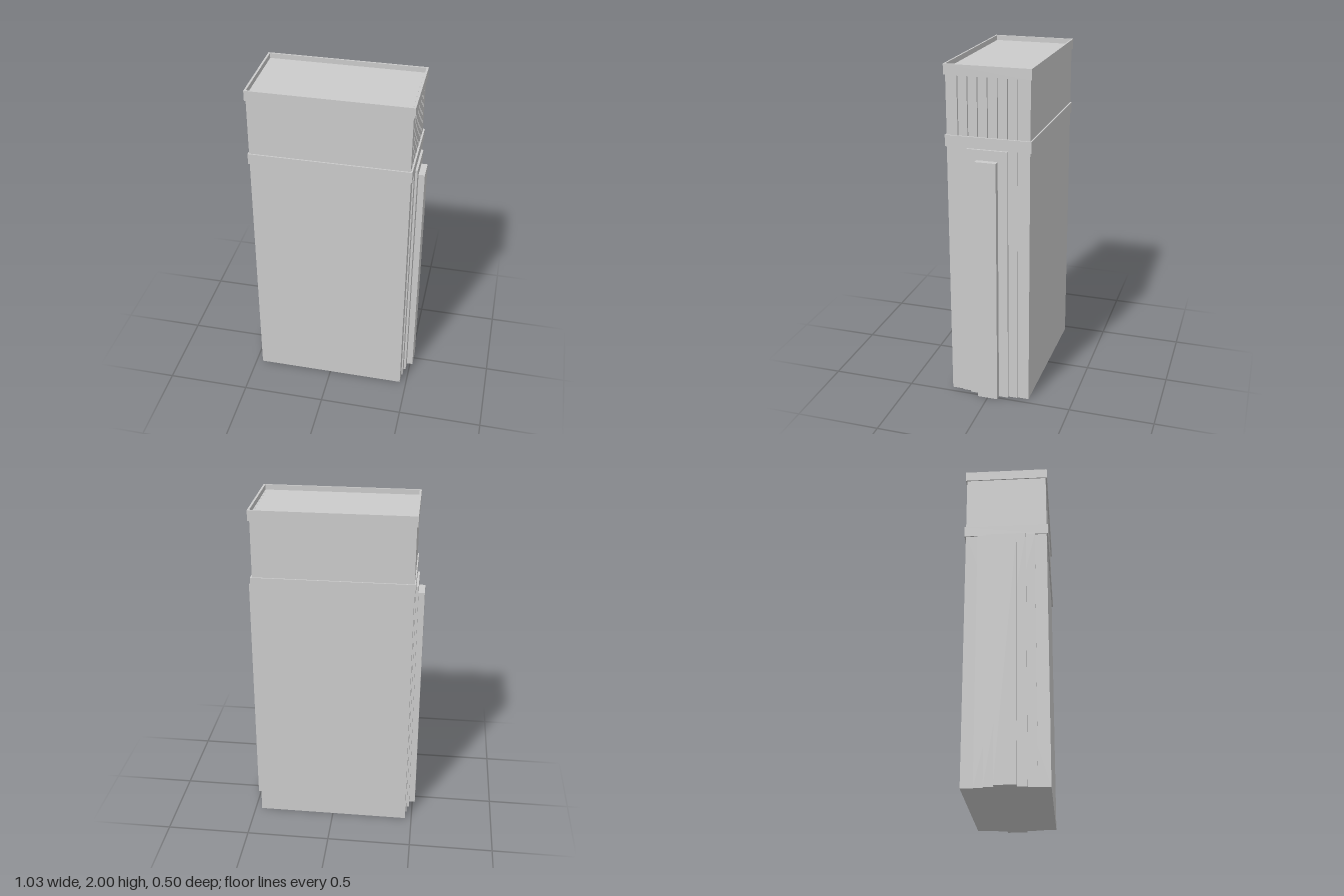
import * as THREE from 'three';

const material = new THREE.MeshStandardMaterial({ color: 0xcccccc });

// Extrudes a plan outline upward from y0 to y1.
function upright(name, shape, y0, y1) {
  const geometry = new THREE.ExtrudeGeometry(shape, { depth: y1 - y0, bevelEnabled: false });
  geometry.rotateX(-Math.PI / 2).translate(0, y0, 0);
  const mesh = new THREE.Mesh(geometry, material);
  mesh.name = name;
  return mesh;
}

function rectangle(x, z, Type = THREE.Shape) {
  return new Type([[-x, -z], [x, -z], [x, z], [-x, z]].map(([a, b]) => new THREE.Vector2(a, b)));
}

// Rectangular ring that wraps the tower.
function band(name, y0, y1) {
  const ring = rectangle(0.467, 0.248);
  ring.holes.push(rectangle(0.455, 0.238, THREE.Path));
  return upright(name, ring, y0, y1);
}

// Upper storey outline: plain on one end, vertical grooves on the other.
function groovedOutline() {
  const x = 0.457, z = 0.24, depth = 0.015, half = 0.005;
  const shape = new THREE.Shape();
  shape.moveTo(-0.46, -z);
  shape.lineTo(x, -z);
  for (let i = -3; i <= 3; i++) {
    const c = i * 0.057;
    shape.lineTo(x, c - half);
    shape.lineTo(x - depth, c - half);
    shape.lineTo(x - depth, c + half);
    shape.lineTo(x, c + half);
  }
  shape.lineTo(x, z);
  shape.lineTo(-0.46, z);
  shape.closePath();
  return shape;
}

export function createModel() {
  const tower = new THREE.Group();
  tower.name = 'tower';

  // Main block, grooved storey and the sunken roof on top of it
  tower.add(upright('lowerBlock', rectangle(0.46, 0.24), 0, 1.57));
  tower.add(upright('upperStorey', groovedOutline(), 1.57, 1.97));

  // Middle ledge and roof parapet
  tower.add(band('middleLedge', 1.54, 1.605));
  tower.add(band('roofParapet', 1.94, 2));

  // Stepped pilasters on both ends: [name, outer x, half depth, height]
  const layers = [
    ['backingPanel', 0.467, 0.17, 1.54],
    ['steppedPanel', 0.48, 0.117, 1.54],
    ['pilaster', 0.516, 0.061, 1.48],
  ];
  for (const side of [-1, 1]) {
    const group = new THREE.Group();
    group.name = side > 0 ? 'leftPilaster' : 'rightPilaster';
    for (const [name, outer, halfDepth, height] of layers) {
      const width = outer - 0.45;
      const mesh = new THREE.Mesh(new THREE.BoxGeometry(width, height, halfDepth * 2), material);
      mesh.position.set(side * (0.45 + width / 2), height / 2, 0);
      mesh.name = name;
      group.add(mesh);
    }
    tower.add(group);
  }
  return tower;
}
